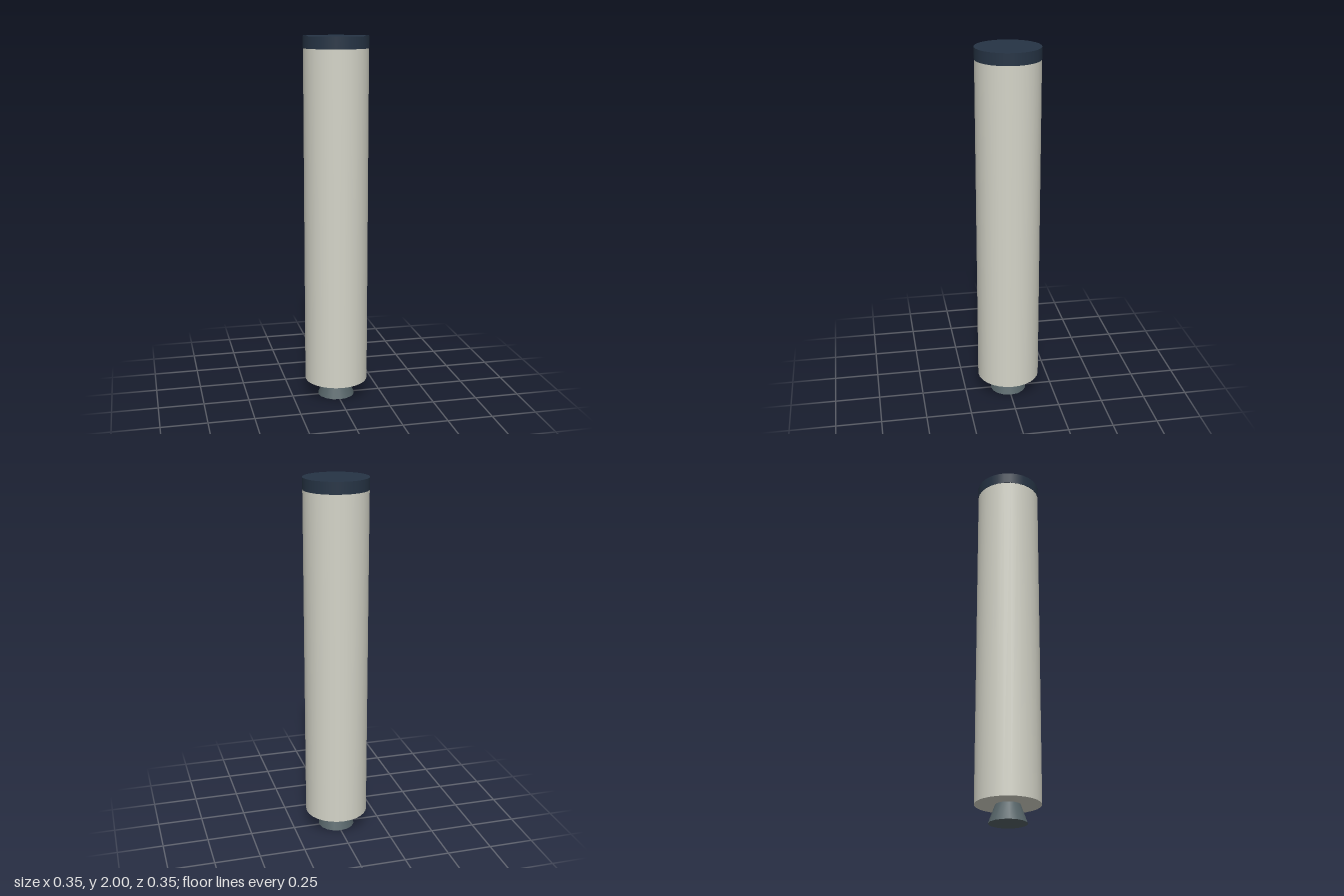
import * as THREE from 'three';

export function createModel() {
  const model = new THREE.Group();
  const paint = (name, color) => {
    const m = new THREE.MeshStandardMaterial({ color });
    m.name = name;
    return m;
  };
  const paleGrey = paint('paleGrey', 0xd4d4c8);
  const navy = paint('navy', 0x263445);
  const steel = paint('steel', 0x566468);

  // Capped round section standing between two heights
  const section = (name, material, y0, y1, bottomRadius, topRadius, sides) => {
    const geometry = new THREE.CylinderGeometry(topRadius, bottomRadius, y1 - y0, sides);
    const mesh = new THREE.Mesh(geometry, material);
    mesh.name = name;
    mesh.position.y = (y0 + y1) / 2;
    model.add(mesh);
  };

  section('nozzle', steel, 0, 0.097, 0.102, 0.066, 16); // flared engine bell
  section('body', paleGrey, 0.097, 1.936, 0.174, 0.174, 28); // long tank
  section('topBand', navy, 1.936, 2, 0.175, 0.175, 28); // dark end cap

  return model;
}
